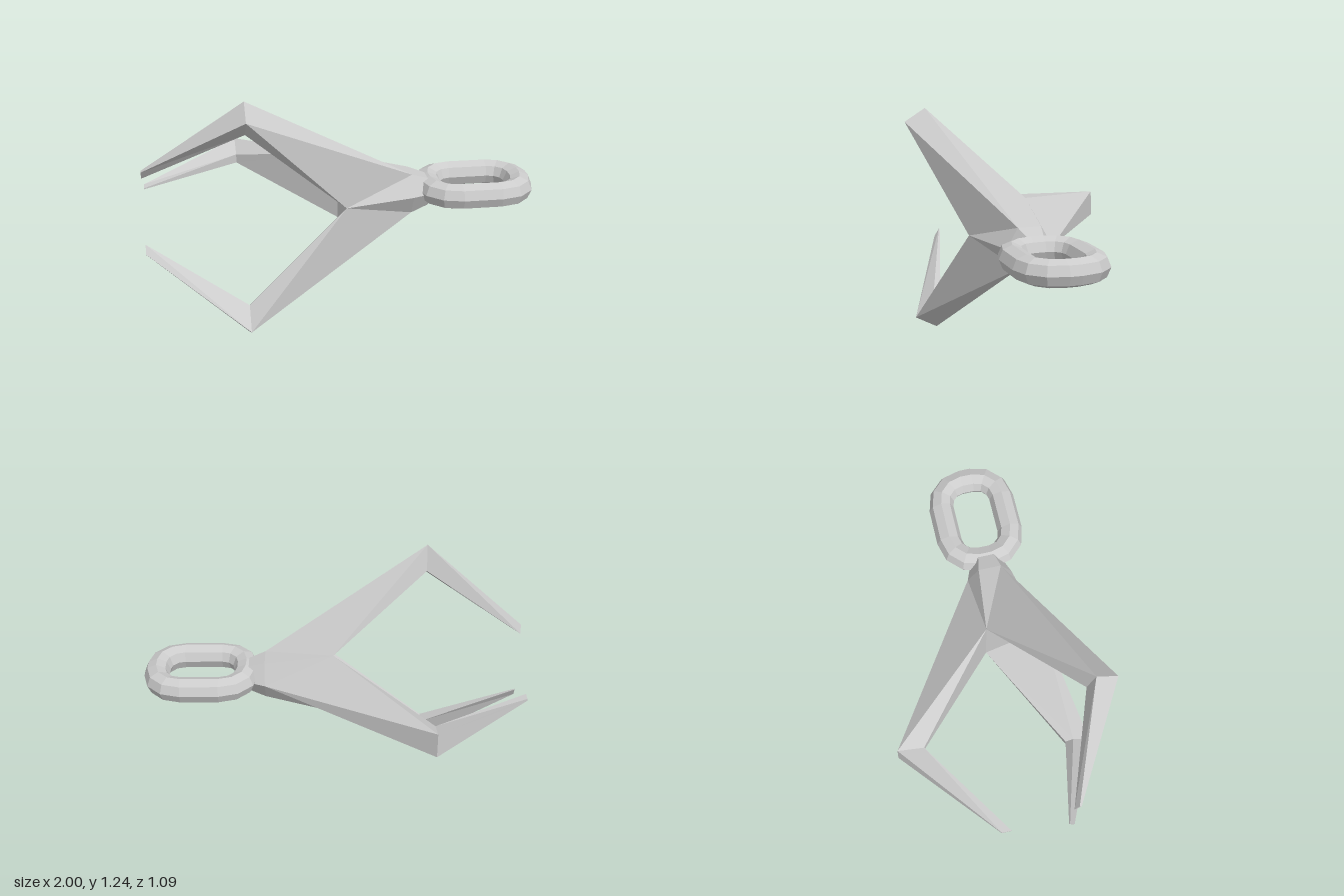
import * as THREE from 'three';

const CY = 0.632, CZ = 0.131; // long axis of the hook runs along x
const rad = THREE.MathUtils.degToRad;
const material = new THREE.MeshStandardMaterial({ color: 0xcccccc, flatShading: true });

// Point at x, distance r from the axis, angle deg (from +z towards +y), sideways offset w
function polar(x, r, deg, w = 0) {
  const a = rad(deg), c = Math.cos(a), s = Math.sin(a);
  return [x, CY + r * s + w * c, CZ + r * c - w * s];
}

// Flat-faced mesh from convex polygons
function facetMesh(name, polygons) {
  const pos = [];
  for (const p of polygons)
    for (let i = 1; i < p.length - 1; i++) pos.push(...p[0], ...p[i], ...p[i + 1]);
  const geo = new THREE.BufferGeometry();
  geo.setAttribute('position', new THREE.Float32BufferAttribute(pos, 3));
  geo.computeVertexNormals();
  const mesh = new THREE.Mesh(geo, material);
  mesh.name = name;
  return mesh;
}

const valley = deg => polar(0, 0.205, deg);
const collar = deg => polar(0.36, 0.12, deg);
const neckEnd = deg => polar(0.45, 0.084, deg);

// One arm with its bent claw
function prong(deg) {
  const bend = deg - 2;
  const P = collar(deg), Qn = collar(deg + 60), Qp = collar(deg - 60);
  const Vn = valley(deg + 60), Vp = valley(deg - 60);
  const [Ep, Em] = [1, -1].map(s => polar(-0.5, 0.676, bend, s * 0.067));
  const [Ip, Im] = [1, -1].map(s => polar(-0.5, 0.541, bend, s * 0.024));
  const [Tp, Tm] = [1, -1].map(s => polar(-1, 0.256, deg, s * 0.006));
  const [Jp, Jm] = [1, -1].map(s => polar(-1, 0.206, deg, s * 0.003));
  const arm = facetMesh('arm', [
    [P, Ep, Em], [Ep, P, Vn], [P, Em, Vp], [Vn, P, Qn], [P, Vp, Qp],
    [Ep, Vn, Ip], [Vp, Em, Im], [Ip, Vn, Vp, Im],
  ]);
  const claw = facetMesh('claw', [
    [Em, Ep, Tp, Tm], [Ep, Ip, Jp, Tp], [Ip, Im, Jm, Jp], [Im, Em, Tm, Jm], [Tm, Tp, Jp, Jm],
  ]);
  const group = new THREE.Group();
  group.name = 'prong';
  group.add(arm, claw);
  return group;
}

// Six-sided neck, plus the face between the arms
function neck() {
  const angles = [0, 60, 120, 180, 240, 300];
  const faces = angles.map(d => [collar(d + 60), collar(d), neckEnd(d), neckEnd(d + 60)]);
  faces.push([...angles].reverse().map(neckEnd));
  faces.push([0, 120, 240].map(valley));
  return facetMesh('neck', faces);
}

// Oblong chain link: octagonal section swept round a rounded rectangle
function link() {
  const cx = 0.697, cy = 0.645, tube = 0.067, corner = 0.137, steps = 3, sides = 8;
  const rings = [];
  [[1, 1], [-1, 1], [-1, -1], [1, -1]].forEach(([sx, sz], q) => {
    for (let i = 0; i <= steps; i++) {
      const p = rad(90 * (q + i / steps));
      const ring = [];
      for (let k = 0; k < sides; k++) {
        const s = (k / sides) * Math.PI * 2;
        const r = corner + tube * Math.cos(s);
        ring.push([cx + sx * 0.1 + r * Math.cos(p), cy + tube * Math.sin(s), CZ + sz * 0.03 + r * Math.sin(p)]);
      }
      rings.push(ring);
    }
  });
  const faces = [];
  rings.forEach((a, i) => {
    const b = rings[(i + 1) % rings.length];
    for (let k = 0; k < sides; k++) {
      const n = (k + 1) % sides;
      faces.push([a[k], a[n], b[n], b[k]]);
    }
  });
  return facetMesh('chainLink', faces);
}

export function createModel() {
  const model = new THREE.Group();
  model.name = 'grapplingHook';
  for (const deg of [60, 180, 300]) model.add(prong(deg));
  model.add(neck(), link());
  return model;
}
